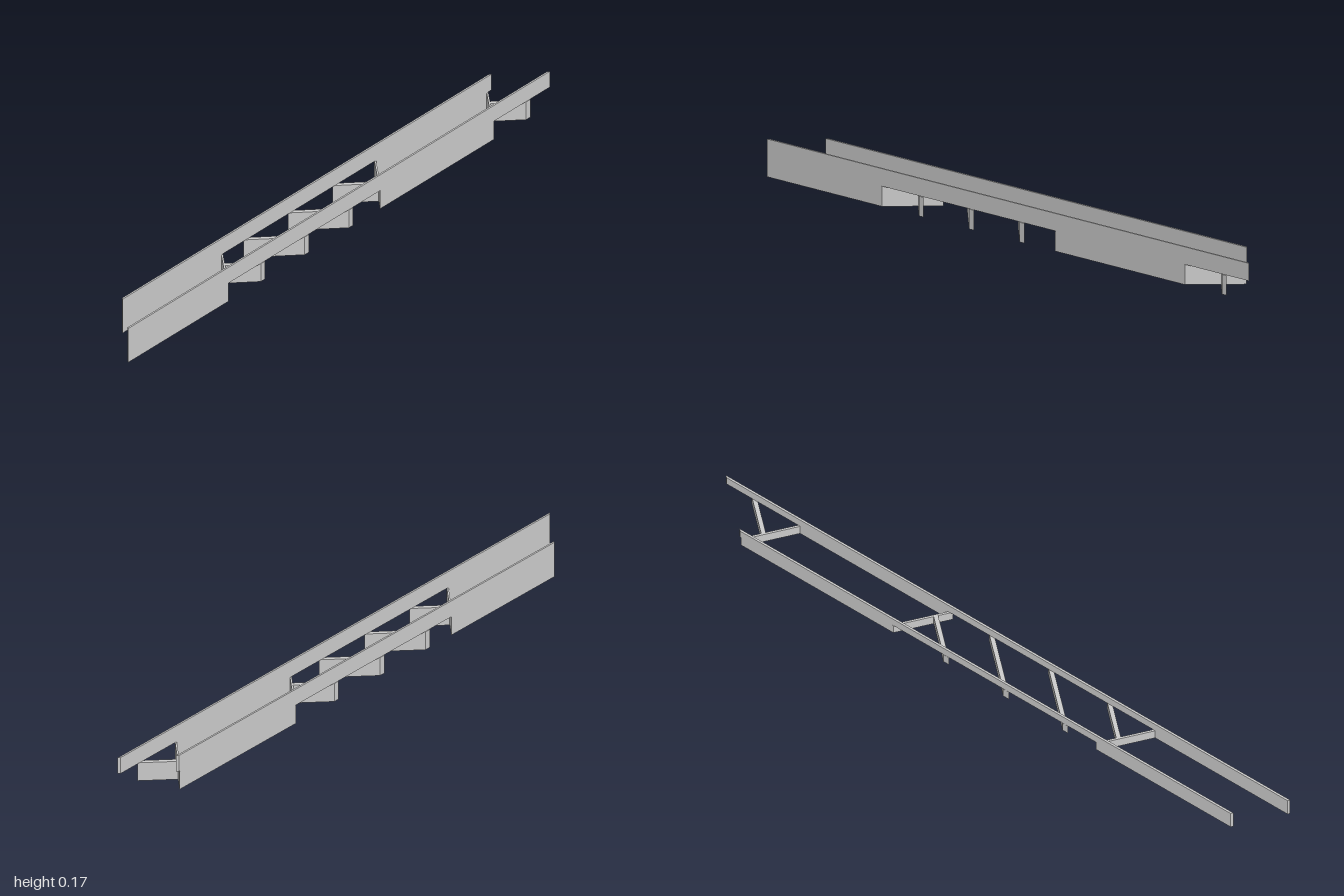
import * as THREE from 'three';

const TOP = 0.168, NOTCH = 0.09, RUNG = 0.088, WALL = 0.012;
const FRONT = 0, REAR = -0.25; // x + z on the front face of each rail

const material = new THREE.MeshStandardMaterial({ color: 0xcccccc, flatShading: true });

function part(name, geometry) {
  const mesh = new THREE.Mesh(geometry, material);
  mesh.name = name;
  return mesh;
}

function polygon(points) {
  return new THREE.Shape(points.map(([x, y]) => new THREE.Vector2(x, y)));
}

// Side profile of a notched rail, sheared along the 45 degree diagonal
function rail(name, offset) {
  const end = 1 + offset;
  const profile = polygon([
    [-1, 0], [-0.525, 0], [-0.525, NOTCH], [0.198, NOTCH], [0.198, 0],
    [0.732, 0], [0.732, NOTCH], [end, NOTCH], [end, TOP], [-1, TOP],
  ]);
  const geometry = new THREE.ExtrudeGeometry(profile, { depth: WALL, bevelEnabled: false });
  const p = geometry.attributes.position;
  for (let i = 0; i < p.count; i++) {
    let x = p.getX(i);
    let z = offset - WALL - x + p.getZ(i);
    // Trim the far end square to the z axis
    if (z < -1) {
      x -= -1 - z;
      z = -1;
    }
    p.setXYZ(i, x, p.getY(i), z);
  }
  geometry.computeVertexNormals();
  return part(name, geometry);
}

// Low upright piece raised from a floor outline of [x, z] corners
function upright(name, corners) {
  const outline = polygon(corners.map(([x, z]) => [x, -z]));
  const geometry = new THREE.ExtrudeGeometry(outline, { depth: RUNG, bevelEnabled: false });
  geometry.rotateX(-Math.PI / 2);
  return part(name, geometry);
}

export function createModel() {
  const group = new THREE.Group();
  group.name = 'diagonalFrame';
  group.add(rail('frontRail', FRONT), rail('rearRail', REAR));

  // Thin cross panels closing each end of the notches
  for (const [x0, x1] of [[-0.531, -0.523], [0.195, 0.203], [0.727, 0.735]]) {
    const back = (x) => Math.max(-1, REAR - WALL - x);
    group.add(upright('crossPanel', [[x0, -x0], [x1, -x1], [x1, back(x1)], [x0, back(x0)]]));
  }

  // Rungs: [centre z, optional left x limit, optional right x limit]
  const rungs = [[0.36, -0.525, null], [0.152, null, null], [-0.058, null, null],
    [-0.27, null, 0.198], [-0.898, 0.732, null]];
  for (const [z, min, max] of rungs) {
    const zf = z + 0.01, zb = z - 0.01;
    const left = (v) => min ?? REAR - WALL - v;
    const right = (v) => max ?? -v;
    group.add(upright('rung', [[left(zf), zf], [right(zf), zf], [right(zb), zb], [left(zb), zb]]));
  }
  return group;
}
